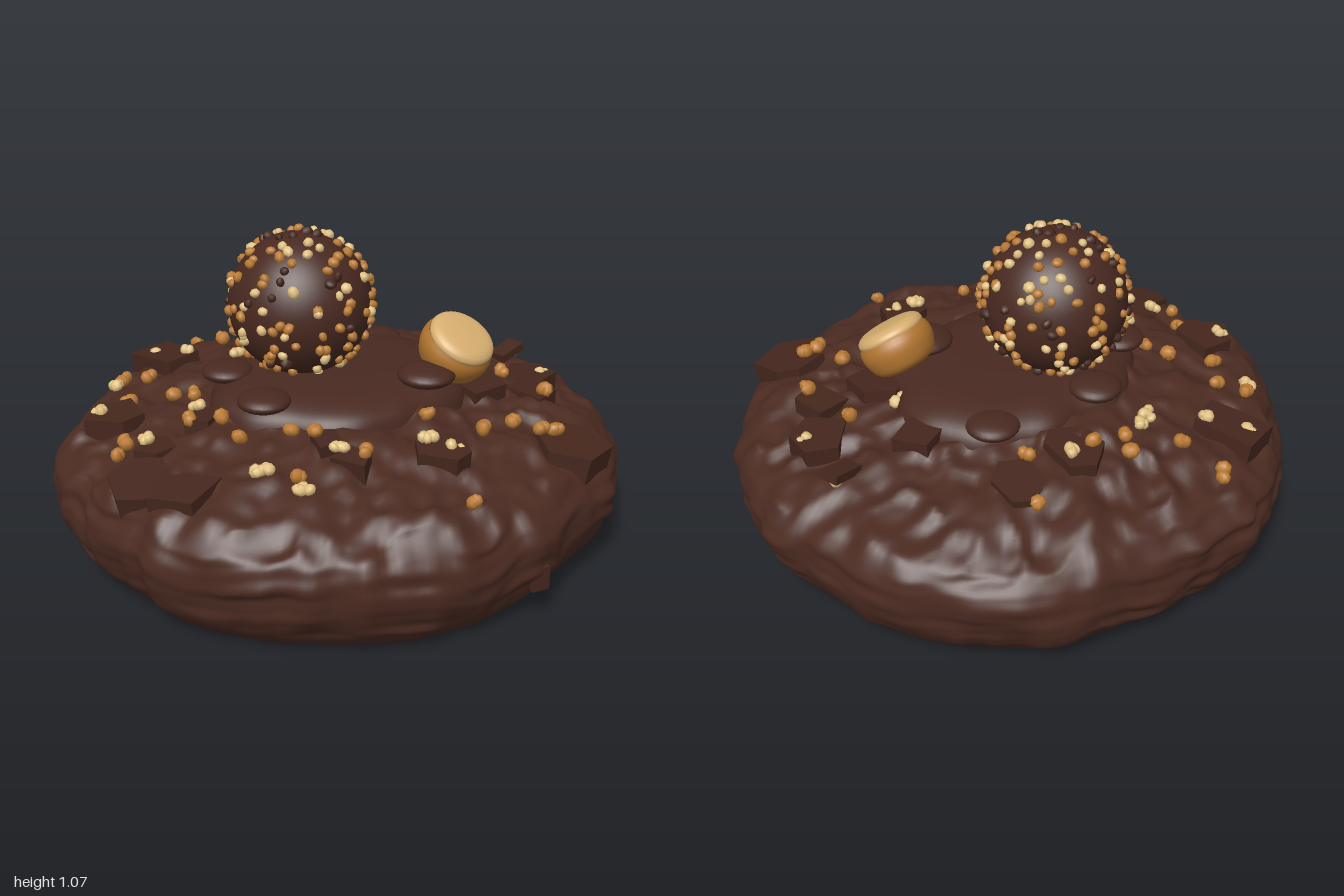
import * as THREE from 'three';
import { mergeGeometries } from 'three/addons/utils/BufferGeometryUtils.js';

const material = (name, color) => {
  const m = new THREE.MeshStandardMaterial({ color });
  m.name = name;
  return m;
};

// Outline radius every 15 degrees, from +x towards +z
const RIM = [.985, .98, .985, .97, .915, .935, .955, .96, .955, .97, .985, .96,
  .98, 1.005, .965, .955, .97, .985, .955, .945, .985, .98, .985, .965];
function rim(a) {
  const t = ((a / (Math.PI * 2)) % 1 + 1) % 1 * RIM.length;
  const i = Math.floor(t), f = t - i, s = f * f * (3 - 2 * f);
  return RIM[i % 24] * (1 - s) + RIM[(i + 1) % 24] * s;
}

// Smooth value noise in -1..1
const hash = (x, y, z) => {
  const s = Math.sin(x * 127.1 + y * 311.7 + z * 74.7) * 43758.5453;
  return (s - Math.floor(s)) * 2 - 1;
};
function noise(x, y, z) {
  const p = [x, y, z], i = p.map(Math.floor);
  const f = p.map((v, k) => v - i[k]).map(v => v * v * (3 - 2 * v));
  let sum = 0;
  for (let c = 0; c < 8; c++) {
    const b = [c & 1, (c >> 1) & 1, c >> 2];
    const w = b.reduce((q, on, k) => q * (on ? f[k] : 1 - f[k]), 1);
    sum += w * hash(i[0] + b[0], i[1] + b[1], i[2] + b[2]);
  }
  return sum;
}

// Side and top of the cookie: [fraction of outline, height]
const SIDE = [[.87, 0], [.91, .035], [.955, .09], [.985, .15], [1, .22], [.998, .29], [.965, .35]];
const TOP = [[.9, .4], [.8, .432], [.65, .465], [.5, .495], [.35, .52], [0, .54]];
const profile = new THREE.SplineCurve([...SIDE, ...TOP].map(p => new THREE.Vector2(...p)));
const lump = (x, z) => .02 * noise(x * 7, 3, z * 7) + .015 * noise(x * 17, 7, z * 17)
  + .028 * (.35 - Math.abs(noise(x * 9 + z * 3, 5, z * 9 - x * 3)));

// Height of the lumpy top at a point
function heightAt(x, z) {
  const s = Math.hypot(x, z) / rim(Math.atan2(z, x));
  let i = 0;
  while (i < TOP.length - 2 && s < TOP[i + 1][0]) i++;
  const [r0, y0] = TOP[i], [r1, y1] = TOP[i + 1];
  return y0 + (y1 - y0) * (r0 - s) / (r0 - r1) + lump(x, z);
}

// Closed rings of points: fn(v, angle) gives [x, y, z]
function ringSurface(rows, segs, fn) {
  const pos = [], index = [];
  for (let i = 0; i <= rows; i++) {
    for (let j = 0; j < segs; j++) {
      pos.push(...fn(i / rows, j / segs * Math.PI * 2));
      if (i === rows) continue;
      const a = i * segs + j, b = i * segs + (j + 1) % segs;
      index.push(a, a + segs, b, b, a + segs, b + segs);
    }
  }
  const g = new THREE.BufferGeometry();
  g.setAttribute('position', new THREE.Float32BufferAttribute(pos, 3));
  g.setIndex(index);
  g.computeVertexNormals();
  return g;
}

export function createModel() {
  const group = new THREE.Group();
  const dough = material('baked chocolate dough', 0x4b2b21);
  const chocolate = material('dark chocolate', 0x45271d);
  const ganache = material('ganache', 0x482920);
  const cream = material('pale nut', 0xe3c283);
  const amber = material('toasted nut', 0xba7a33);
  const kernel = material('nut kernel', 0xd6ae70);
  const skin = material('nut skin', 0xb0742f);
  let seed = 7;
  const rand = (lo = 0, hi = 1) => {
    seed = (seed * 16807) % 2147483647;
    return lo + (hi - lo) * seed / 2147483647;
  };
  const add = (name, geometry, mat) => {
    const mesh = new THREE.Mesh(geometry, mat);
    mesh.name = name;
    group.add(mesh);
    return mesh;
  };

  // Cookie body: flat underside, ridged and creased side, lumpy top
  const UNDER = .05;
  add('cookieBody', ringSurface(100, 280, (v, a) => {
    const c = Math.cos(a), s = Math.sin(a);
    if (v < UNDER) {
      const r = Math.max(.0005, v / UNDER * .87 * rim(a));
      return [r * c, 0, r * s];
    }
    const p = profile.getPoint((v - UNDER) / (1 - UNDER));
    const side = THREE.MathUtils.smoothstep(p.y, 0, .1) * (1 - THREE.MathUtils.smoothstep(p.y, .37, .43));
    const wave = noise(c * 5, 9, s * 5);
    const ridge = .013 * noise(c * 4, p.y * 27 + wave, s * 4) + .016 * noise(c * 13, p.y * 5 + wave, s * 13);
    const r = Math.max(.0005, p.x * rim(a) + side * ridge);
    const x = r * c, z = r * s;
    return [x, Math.max(0, p.y) + THREE.MathUtils.smoothstep(p.y, .3, .4) * lump(x, z), z];
  }), dough);

  // Ganache pool in the middle
  const pool = new THREE.SplineCurve([[.47, .47], [.45, .525], [.4, .56], [.31, .582], [.15, .588], [0, .588]]
    .map(p => new THREE.Vector2(...p)));
  add('ganachePool', ringSurface(20, 90, (v, a) => {
    const p = pool.getPoint(v);
    const wobble = 1 + .07 * noise(Math.cos(a) * 3, 1, Math.sin(a) * 3);
    const r = Math.max(.0005, p.x * wobble);
    return [.01 + r * Math.cos(a), p.y, -.02 + r * .86 * Math.sin(a)];
  }), ganache);

  // Melted drops around the pool: x, y, z, radius
  const drops = [[-.35, .57, .13, .09], [.21, .595, .23, .1], [-.36, .575, -.16, .09],
    [-.08, .575, -.35, .09], [.3, .545, -.28, .09]];
  drops.forEach(([x, y, z, r]) => {
    const drop = add('meltedDrop', new THREE.SphereGeometry(r, 24, 14), ganache);
    drop.scale.y = .38;
    drop.position.set(x, y, z);
  });

  // Broken chocolate chunks: x, z, radius
  const chunks = [[-.395, -.68, .14], [.14, -.51, .11], [.37, -.51, .1], [-.76, -.21, .12], [.5, -.13, .09],
    [.72, .12, .11], [.6, .29, .11], [.51, .63, .14], [.06, .58, .09], [-.22, .52, .07], [-.73, .37, .12],
    [-.81, .2, .12], [-.7, .08, .08], [-.53, .02, .07], [.43, .2, .11], [-.26, .4, .07]];
  chunks.forEach(([x, z, r]) => {
    const corners = [];
    const n = 4 + Math.floor(rand(0, 2.5)), turn = rand(0, 6.28);
    for (let k = 0; k < n; k++) {
      const a = turn + (k + rand(-.25, .25)) / n * Math.PI * 2, q = r * rand(.82, 1.12);
      corners.push(new THREE.Vector2(q * Math.cos(a), q * Math.sin(a)));
    }
    const g = new THREE.ExtrudeGeometry(new THREE.Shape(corners), { depth: .1, bevelEnabled: false });
    g.rotateX(-Math.PI / 2).translate(0, -.07, 0);
    const chunk = add('chocolateChunk', g, chocolate);
    chunk.position.set(x, heightAt(x, z), z);
    chunk.rotation.set(z * .17 + rand(-.08, .08), 0, -x * .12 + rand(-.08, .08));
  });
  const sliver = add('chocolateSliver', new THREE.BoxGeometry(.12, .03, .07), chocolate);
  sliver.position.set(.77, .47, -.1);
  sliver.rotation.set(0, .3, .2);
  add('sideChunk', new THREE.BoxGeometry(.06, .08, .05), chocolate).position.set(.23, .155, .89);

  // One small irregular piece of chopped nut
  const bit = (x, y, z, size) => {
    const g = new THREE.SphereGeometry(size, 7, 5);
    g.scale(rand(.85, 1.2), rand(.75, 1), rand(.85, 1.2));
    g.rotateX(rand(0, 3)).rotateY(rand(0, 3)).translate(x, y, z);
    return g;
  };

  // Chopped nuts scattered on the top: x, z pairs
  const creamSpots = [-.42, -.74, -.35, -.63, -.65, -.52, -.19, -.5, -.13, -.53, .18, -.54, -.8, -.25, -.53, -.03,
    -.74, .04, .78, -.11, .77, .15, .43, .06, .02, .56, .1, .6, -.42, .59, -.25, .48, -.5, .45];
  const amberSpots = [-.61, -.55, -.54, -.48, -.05, -.55, 0, -.6, -.22, -.82, -.18, -.68, .09, -.54, .38, -.62,
    .31, -.46, -.66, -.35, -.54, -.25, -.48, -.18, -.78, -.07, -.58, .02, -.48, .21, -.82, .02, -.48, .08,
    .59, .12, .63, .34, .41, .47, .5, .6, .44, .58, .27, .49, -.41, .5, -.18, .53, -.33, .27, -.3, .4,
    .03, .82, .12, .39];
  const scatter = (spots, pieces, size, spread) => {
    const parts = [];
    for (let i = 0; i < spots.length; i += 2) {
      for (let k = 0; k < pieces; k++) {
        const x = spots[i] + rand(-spread, spread), z = spots[i + 1] + rand(-spread, spread);
        const onChunk = chunks.some(c => Math.hypot(x - c[0], z - c[1]) < c[2] * .9);
        parts.push(bit(x, heightAt(x, z) + (onChunk ? .048 : .02), z, size * rand(.9, 1.1)));
      }
    }
    return mergeGeometries(parts);
  };
  add('paleNutCrumbs', scatter(creamSpots, 5, .02, .019), cream);
  add('toastedNutCrumbs', scatter(amberSpots, 2, .025, .012), amber);

  // Truffle ball coated with chopped nuts
  const centre = new THREE.Vector3(-.1, .8, -.11), R = .25;
  add('truffleBall', new THREE.SphereGeometry(R, 48, 32), ganache).position.copy(centre);
  const coats = [[], [], []];
  const count = 215;
  for (let i = 0; i < count; i++) {
    const y = 1 - 2 * (i + .5) / count, q = Math.sqrt(1 - y * y), a = i * 2.39996 + rand(-.3, .3);
    const pick = rand();
    const dir = new THREE.Vector3(q * Math.cos(a), y + rand(-.07, .07), q * Math.sin(a)).normalize();
    const p = dir.multiplyScalar(R + .002).add(centre);
    coats[pick < .36 ? 0 : pick < .86 ? 1 : 2].push(bit(p.x, p.y, p.z, rand(.016, .021)));
  }
  [['trufflePaleNuts', cream], ['truffleToastedNuts', amber], ['truffleChocolateBits', chocolate]]
    .forEach(([name, mat], i) => add(name, mergeGeometries(coats[i]), mat));

  // Tilted halved hazelnut: squat barrel with a domed pale face
  const nut = new THREE.Group();
  nut.name = 'hazelnut';
  const lathe = (name, pts, mat) => {
    const curve = new THREE.SplineCurve(pts.map(p => new THREE.Vector2(...p)));
    const mesh = new THREE.Mesh(new THREE.LatheGeometry(curve.getPoints(24), 40), mat);
    mesh.name = name;
    nut.add(mesh);
  };
  lathe('nutSkin', [[0, -.09], [.07, -.088], [.108, -.07], [.128, -.025], [.13, .01], [.12, .036]], skin);
  lathe('nutFace', [[.118, .034], [.12, .046], [.11, .062], [.08, .074], [0, .08]], kernel);
  nut.position.set(.355, .655, .185);
  nut.quaternion.setFromUnitVectors(new THREE.Vector3(0, 1, 0), new THREE.Vector3(.19, .84, .5).normalize());
  group.add(nut);

  return group;
}
